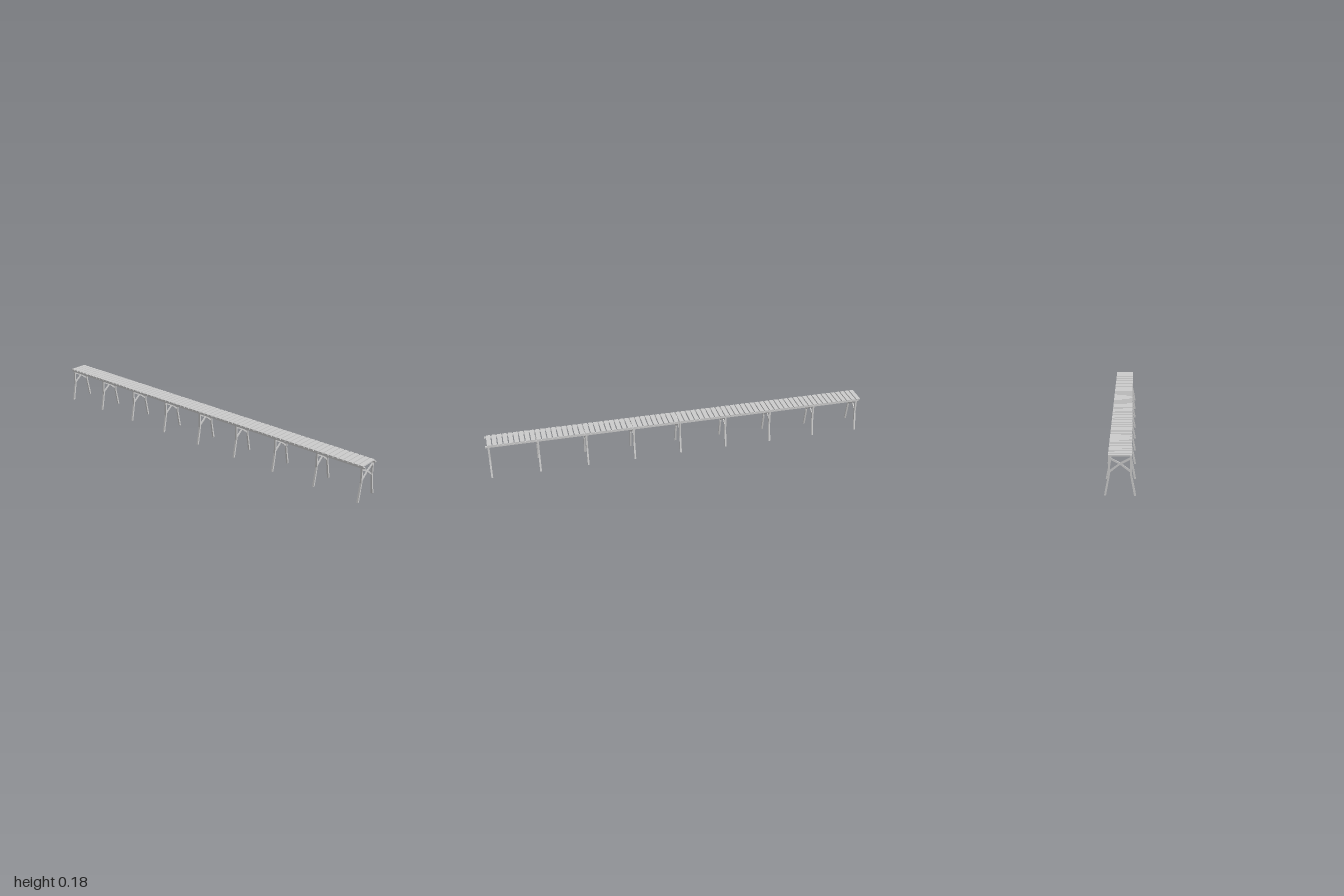
import * as THREE from 'three';

const material = new THREE.MeshStandardMaterial({ color: 0xcccccc, flatShading: true });

function box(name, w, h, d, x, y, z) {
  const mesh = new THREE.Mesh(new THREE.BoxGeometry(w, h, d), material);
  mesh.name = name;
  mesh.position.set(x, y, z);
  return mesh;
}

// Flat timber cut from an outline in the xy plane, centred on z
function timber(name, outline, depth, z = 0) {
  const shape = new THREE.Shape(outline.map(([x, y]) => new THREE.Vector2(x, y)));
  const geometry = new THREE.ExtrudeGeometry(shape, { depth, bevelEnabled: false });
  geometry.translate(0, 0, z - depth / 2);
  const mesh = new THREE.Mesh(geometry, material);
  mesh.name = name;
  return mesh;
}

// One support: two splayed legs joined by crossed braces
function createTrestle() {
  const trestle = new THREE.Group();
  trestle.name = 'trestle';
  for (const s of [1, -1]) {
    // Upright above, leaning outward below the knee
    trestle.add(timber(s > 0 ? 'leftLeg' : 'rightLeg', [
      [s * 0.042, 0.169], [s * 0.05, 0.169], [s * 0.05, 0.094],
      [s * 0.068, 0], [s * 0.059, 0], [s * 0.042, 0.093],
    ], 0.009));
    // Brace from the top of one leg to the knee of the other
    trestle.add(timber('crossBrace', [
      [s * 0.043, 0.167], [0, 0.144], [-s * 0.043, 0.112],
      [-s * 0.043, 0.101], [0, 0.135], [s * 0.043, 0.157],
    ], 0.005, s * 0.001));
  }
  return trestle;
}

export function createModel() {
  const model = new THREE.Group();
  model.name = 'boardwalk';

  // Trestles at even spacing
  for (let i = 0; i < 9; i++) {
    const trestle = createTrestle();
    trestle.position.z = 0.003 + (i - 4) * 0.2453;
    model.add(trestle);
  }

  // Long beams under both edges of the deck
  for (const s of [1, -1]) {
    model.add(box(s > 0 ? 'leftBeam' : 'rightBeam', 0.008, 0.008, 1.992, s * 0.046, 0.1725, 0.004));
  }

  // Deck planks with narrow gaps
  const count = 73, start = -1, end = 0.99, plank = 0.022;
  const step = (end - start - plank) / (count - 1);
  for (let i = 0; i < count; i++) {
    model.add(box('deckPlank', 0.1, 0.006, plank, 0, 0.179, start + plank / 2 + i * step));
  }
  return model;
}
